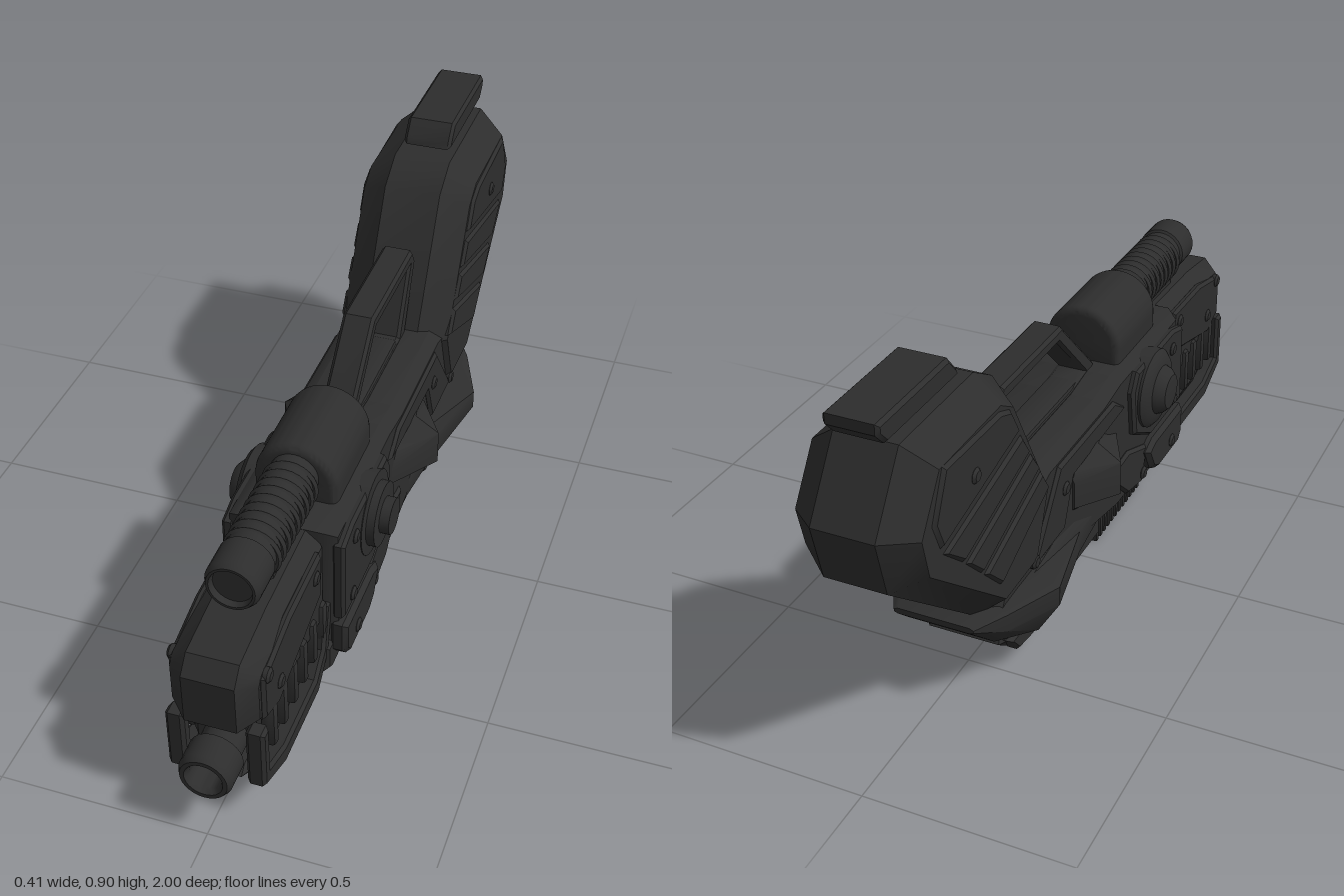
import * as THREE from 'three';
import { toCreasedNormals } from 'three/addons/utils/BufferGeometryUtils.js';
import { RoundedBoxGeometry } from 'three/addons/geometries/RoundedBoxGeometry.js';

export function createModel() {
  const model = new THREE.Group();
  model.name = 'rifle';
  const gunmetal = new THREE.MeshStandardMaterial({ color: 0x2d2d2d });
  gunmetal.name = 'gunmetal';

  const add = (name, geo) => {
    const mesh = new THREE.Mesh(toCreasedNormals(geo, 0.6), gunmetal);
    mesh.name = name;
    model.add(mesh);
    return mesh;
  };
  const toShape = (pts) => new THREE.Shape(pts.map(([z, y]) => new THREE.Vector2(z, y)));

  // Side profile in (z, y), extruded across x, with chamfers kept inside the outline
  const slab = (name, pts, half, bevel = 0.015, inset = bevel, x = 0, hole = null) => {
    const shape = toShape(pts);
    if (hole) shape.holes.push(toShape(hole));
    const depth = 2 * (half - bevel);
    const geo = new THREE.ExtrudeGeometry(shape, {
      depth, bevelEnabled: true, bevelThickness: bevel, bevelSize: inset, bevelOffset: -inset, bevelSegments: 1,
    });
    geo.translate(0, 0, -depth / 2).rotateY(-Math.PI / 2).translate(x, 0, 0);
    return add(name, geo);
  };
  // The same plate on both flanks
  const plates = (name, pts, x, half, bevel = 0.008) => {
    for (const s of [-1, 1]) slab(name, pts, half, bevel, bevel, s * x);
  };
  // Turned part along z, profile in (radius, z)
  const turned = (name, pts, y, x = 0) =>
    add(name, new THREE.LatheGeometry(pts.map(([r, z]) => new THREE.Vector2(r, z)), 28)
      .rotateX(Math.PI / 2).translate(x, y, 0));
  // Turned part along x, profile in (radius, outward distance)
  const hub = (name, pts, s, y, z, segments = 28) =>
    add(name, new THREE.LatheGeometry(pts.map(([r, d]) => new THREE.Vector2(r, d)), segments)
      .rotateZ(-s * Math.PI / 2).translate(0, y, z));
  const block = (name, w, h, d, x, y, z, r = 0.008) =>
    add(name, new RoundedBoxGeometry(w, h, d, 1, r).translate(x, y, z));

  // Faceted body from eight-sided sections, listed front to back
  const loft = (name, sections) => {
    const rings = sections.map(([z, w, bw, tw, y0, y1, y2, y3]) => [
      [bw, y0, z], [w, y1, z], [w, y2, z], [tw, y3, z], [-tw, y3, z], [-w, y2, z], [-w, y1, z], [-bw, y0, z]]);
    const pos = [];
    const tri = (...p) => p.forEach((v) => pos.push(...v));
    for (let i = 0; i < rings.length - 1; i++) {
      for (let j = 0; j < 8; j++) {
        const k = (j + 1) % 8, a = rings[i], b = rings[i + 1];
        tri(a[j], b[j], a[k]);
        tri(a[k], b[j], b[k]);
      }
    }
    const last = rings[rings.length - 1];
    for (let j = 1; j < 7; j++) {
      tri(rings[0][0], rings[0][j], rings[0][j + 1]);
      tri(last[0], last[j + 1], last[j]);
    }
    const geo = new THREE.BufferGeometry();
    geo.setAttribute('position', new THREE.Float32BufferAttribute(pos, 3));
    geo.computeVertexNormals();
    return add(name, geo);
  };

  // Nose and its cover panels
  slab('nose', [[0.945, 0.29], [0.945, 0.42], [0.91, 0.46], [0.76, 0.48], [0.48, 0.49], [0.48, 0.2], [0.86, 0.25]], 0.1, 0.04, 0.035);
  plates('nosePanel', [[0.9, 0.3], [0.9, 0.42], [0.74, 0.455], [0.54, 0.46], [0.54, 0.34], [0.82, 0.27]], 0.097, 0.012);

  // Barrel and ribbed fore grip
  turned('barrel', [[0, 0.45], [0.05, 0.45], [0.05, 0.92], [0.063, 0.925], [0.063, 0.985], [0.055, 1], [0.045, 1], [0.038, 0.985], [0.038, 0.9], [0, 0.9]], 0.18);
  slab('foreGripCore', [[0.86, 0.15], [0.86, 0.27], [0.48, 0.29], [0.48, 0.12], [0.8, 0.12]], 0.085);
  for (const s of [-1, 1]) {
    for (let i = 0; i < 6; i++) block('foreGripRib', 0.035, 0.125, 0.028, s * 0.094, 0.23, 0.845 - i * 0.064, 0.01);
  }
  slab('foreUnderplate', [[0.92, 0.12], [0.81, 0.064], [0.585, 0.064], [0.5, 0.1], [0.5, 0.14], [0.9, 0.14]], 0.068);
  plates('guardRail', [
    [0.93, 0.28], [0.93, 0.12], [0.81, 0.066], [0.585, 0.066], [0.515, 0.13], [0.48, 0.28],
    [0.52, 0.28], [0.545, 0.16], [0.6, 0.115], [0.8, 0.115], [0.895, 0.15], [0.895, 0.28]], 0.092, 0.022);

  // Middle receiver
  slab('receiver', [[0.51, 0.13], [0.51, 0.49], [0.1, 0.49], [0, 0.475], [-0.32, 0.475], [-0.5, 0.42], [-0.6, 0.23], [-0.1, 0.14], [0.1, 0.1], [0.46, 0.1]], 0.13, 0.03, 0.02);
  plates('receiverPanel', [[0.5, 0.23], [0.5, 0.45], [0.43, 0.47], [0.18, 0.47], [0.15, 0.42], [0.17, 0.29], [0.28, 0.23]], 0.132, 0.016);
  plates('lowerPanel', [[0.505, 0.13], [0.505, 0.21], [0.3, 0.21], [0.25, 0.19], [0.29, 0.12], [0.33, 0.1], [0.48, 0.1]], 0.132, 0.023, 0.012);
  slab('receiverBase', [[0.54, 0.08], [0.51, 0.062], [0.36, 0.062], [0.2, 0.09], [0.1, 0.09], [0.1, 0.16], [0.54, 0.16]], 0.12);
  plates('shoulderPanel', [[0.12, 0.4], [0.05, 0.45], [-0.28, 0.45], [-0.42, 0.26], [-0.25, 0.26], [-0.2, 0.38], [0, 0.39]], 0.125, 0.014);
  plates('lowerBrace', [[0.28, 0.2], [0.15, 0.25], [0.02, 0.24], [0.15, 0.12], [0.25, 0.1]], 0.12, 0.02);

  // Pointed flank fairings
  loft('flankFairing', [
    [0.1, 0.12, 0.1, 0.1, 0.28, 0.3, 0.34, 0.38],
    [-0.07, 0.205, 0.14, 0.145, 0.24, 0.27, 0.36, 0.4],
    [-0.19, 0.135, 0.11, 0.12, 0.25, 0.28, 0.35, 0.38]]);
  loft('rearFairing', [
    [0.14, 0.1, 0.08, 0.08, 0.09, 0.12, 0.14, 0.16],
    [-0.18, 0.145, 0.11, 0.12, 0.1, 0.15, 0.21, 0.25],
    [-0.43, 0.205, 0.15, 0.14, 0.09, 0.18, 0.23, 0.25],
    [-0.58, 0.145, 0.11, 0.12, 0.15, 0.19, 0.235, 0.25],
    [-0.66, 0.1, 0.09, 0.09, 0.222, 0.226, 0.232, 0.237]]);

  // Rotary hubs: domed on the right, stepped on the left
  hub('domedHub', [[0.105, 0.1], [0.105, 0.155], [0.09, 0.168], [0.065, 0.172], [0.06, 0.185], [0.045, 0.2], [0, 0.205]], -1, 0.375, 0.28);
  hub('steppedHub', [[0.105, 0.1], [0.105, 0.15], [0.08, 0.152], [0.08, 0.172], [0.045, 0.173], [0.045, 0.197], [0, 0.197]], 1, 0.375, 0.28);

  // Sight tube, cooling rings and housing
  turned('sightTube', [[0, 0.38], [0.058, 0.38], [0.058, 0.7], [0.064, 0.705], [0.064, 0.785], [0.056, 0.8], [0.05, 0.8], [0.046, 0.785], [0, 0.785]], 0.555);
  for (let i = 0; i < 9; i++) {
    add('sightRing', new THREE.TorusGeometry(0.058, 0.01, 6, 24).translate(0, 0.548, 0.44 + i * 0.029));
  }
  slab('sightMount', [[0.68, 0.47], [0.68, 0.51], [0.42, 0.52], [0.42, 0.47]], 0.045, 0.01);
  const arch = new THREE.Shape();
  arch.moveTo(-0.1, 0.46).lineTo(0.1, 0.46).lineTo(0.1, 0.53);
  arch.absarc(0, 0.53, 0.1, 0, Math.PI, false);
  add('sightHousing', new THREE.ExtrudeGeometry(arch, {
    depth: 0.22, bevelThickness: 0.018, bevelSize: 0.018, bevelOffset: -0.018, bevelSegments: 3, curveSegments: 20,
  }).translate(0, 0, 0.173));

  // Carrying handle
  slab('carryHandle', [[0.16, 0.46], [0.14, 0.5], [-0.05, 0.685], [-0.37, 0.685], [-0.395, 0.645], [-0.31, 0.46]], 0.04, 0.008, 0.008, 0,
    [[0.09, 0.495], [-0.07, 0.65], [-0.35, 0.65], [-0.265, 0.485], [0, 0.485]]);
  block('topRail', 0.075, 0.02, 0.3, 0, 0.48, -0.1);

  // Stock with raised cheek panels
  slab('stock', [[-0.3, 0.44], [-0.33, 0.5], [-0.49, 0.785], [-0.575, 0.835], [-0.89, 0.835], [-1, 0.67], [-0.965, 0.53], [-0.6, 0.225], [-0.38, 0.23]], 0.143, 0.07, 0.055);
  const cheeks = [
    [[-0.55, 0.75], [-0.6, 0.77], [-0.85, 0.78], [-0.9, 0.67], [-0.87, 0.6], [-0.51, 0.68]],
    [[-0.5, 0.66], [-0.86, 0.58], [-0.78, 0.51], [-0.46, 0.6]],
    [[-0.45, 0.585], [-0.765, 0.495], [-0.7, 0.43], [-0.41, 0.53]],
    [[-0.4, 0.51], [-0.685, 0.415], [-0.61, 0.34], [-0.36, 0.45]]];
  cheeks.forEach((c) => plates('cheekPanel', c, 0.137, 0.014));
  slab('stockRibs', [[-0.5, 0.7], [-0.56, 0.76], [-0.86, 0.77], [-0.91, 0.67], [-0.87, 0.56], [-0.6, 0.32], [-0.36, 0.43]], 0.143, 0.01);

  // Shoulder pad on top of the stock
  block('padNeck', 0.09, 0.04, 0.24, 0, 0.84, -0.77);
  slab('shoulderPad', [[-0.655, 0.905], [-0.945, 0.905], [-0.945, 0.88], [-0.915, 0.848], [-0.615, 0.848], [-0.62, 0.865]], 0.063, 0.008);

  // Ribbed underside canister, feed tube and roller
  slab('canister', [[0.38, 0.03], [0.38, 0.12], [0.05, 0.12], [0.05, 0.03], [0.08, 0.018], [0.35, 0.018]], 0.078);
  for (let i = 0; i < 12; i++) block('canisterFin', 0.17, 0.09, 0.015, 0, 0.047, 0.36 - i * 0.0255, 0.004);
  turned('feedTube', [[0, -0.3], [0.04, -0.3], [0.04, 0.08], [0, 0.08]], 0.085);
  slab('underTray', [[0.05, 0.05], [0.05, 0.13], [-0.5, 0.14], [-0.52, 0.09], [-0.46, 0.045], [-0.24, 0.05]], 0.105);
  add('roller', new THREE.CylinderGeometry(0.08, 0.08, 0.15, 28).rotateZ(Math.PI / 2).translate(0, 0.086, -0.335));
  plates('rollerGuard', [[-0.23, 0.1], [-0.27, 0.05], [-0.4, 0.04], [-0.47, 0.05], [-0.51, 0.1]], 0.1, 0.02);

  // Bolts on both flanks: [y, z, outer distance]
  const bolts = [
    [0.412, 0.875, 0.116], [0.33, 0.81, 0.116], [0.42, 0.58, 0.116], [0.42, 0.42, 0.156], [0.26, 0.44, 0.156],
    [0.14, 0.42, 0.162], [0.13, 0.25, 0.148], [0.375, -0.25, 0.146], [0.275, -0.42, 0.146], [0.69, -0.725, 0.158]];
  for (const [y, z, d] of bolts) {
    for (const s of [-1, 1]) hub('bolt', [[0.018, d - 0.04], [0.018, d - 0.006], [0.012, d], [0, d]], s, y, z, 12);
  }
  return model;
}
